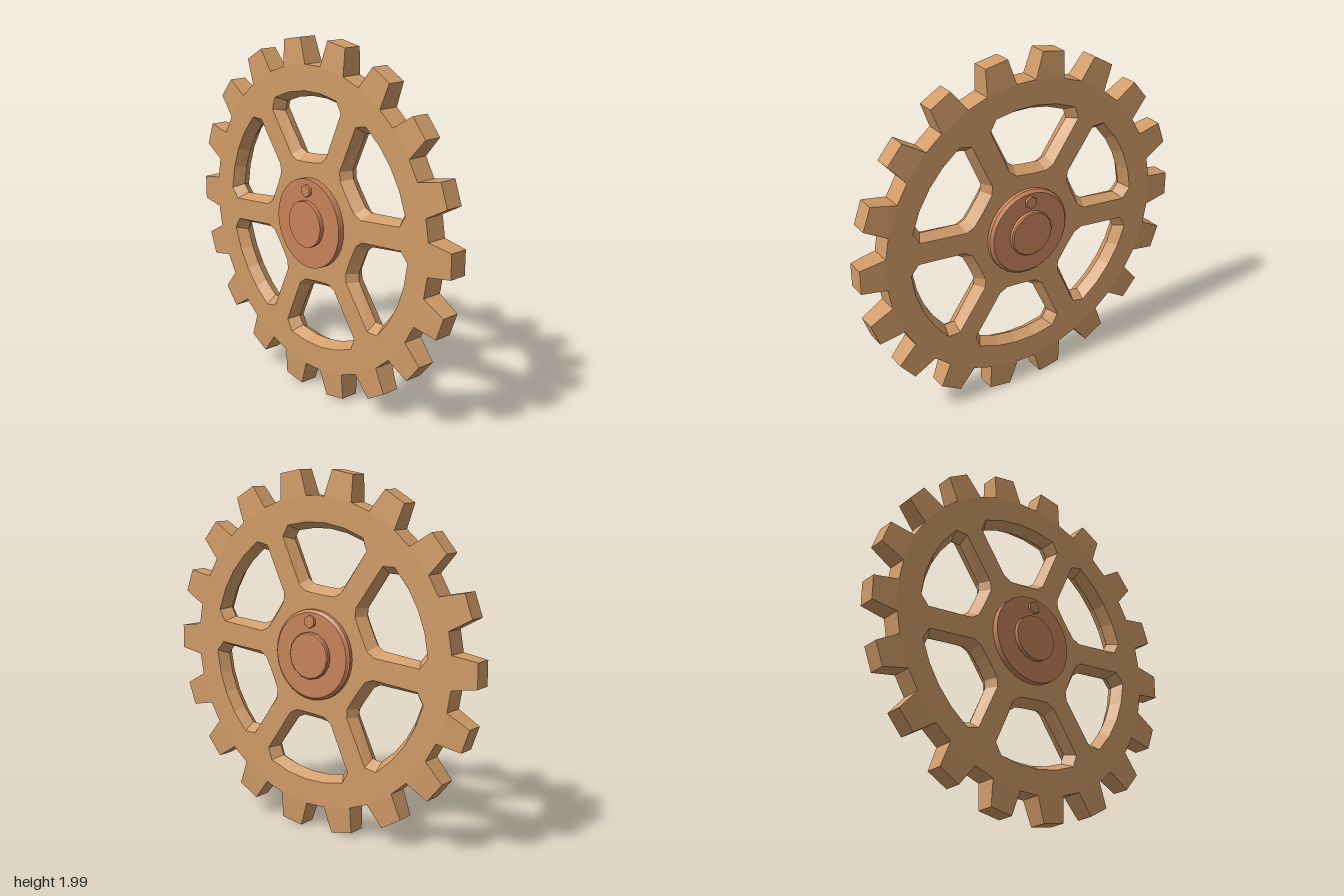
import * as THREE from 'three';

const TEETH = 18, SPOKES = 6;
const HALF = 0.06;              // half thickness of the wheel
const ROOT = 0.86;              // radius at the foot of the teeth
const ROOT_ANGLE = THREE.MathUtils.degToRad(6);
const FIRST_HOLE = THREE.MathUtils.degToRad(35.4);
const HOLE_MID = 0.535;         // radius of a window's centre

const polar = (r, a) => new THREE.Vector2(r * Math.cos(a), r * Math.sin(a));

// Window outline between two spokes, around direction a
function windowPath(a) {
  const corners = [
    [0.39, -21.2], [0.67, -24.7], [0.72, -20.3], [0.72, -10], [0.72, 0], [0.72, 10], [0.72, 20.3],
    [0.67, 24.7], [0.39, 21.2], [0.35, 16], [0.335, 5], [0.335, -5], [0.35, -16],
  ];
  return new THREE.Path(corners.map(([r, d]) => polar(r, a + THREE.MathUtils.degToRad(d))));
}

// Rim, spokes and centre in one plate; window walls narrow towards the middle
function wheelGeometry() {
  const outline = [];
  for (let i = 0; i < TEETH; i++) {
    const a = (i / TEETH) * Math.PI * 2;
    outline.push(polar(ROOT, a - ROOT_ANGLE), polar(ROOT, a + ROOT_ANGLE));
  }
  const shape = new THREE.Shape(outline);
  const step = (Math.PI * 2) / SPOKES;
  for (let i = 0; i < SPOKES; i++) shape.holes.push(windowPath(FIRST_HOLE + i * step));
  const geo = new THREE.ExtrudeGeometry(shape, { depth: HALF * 2, steps: 2, bevelEnabled: false });
  geo.translate(0, 0, -HALF);

  const p = geo.attributes.position;
  for (let i = 0; i < p.count; i++) {
    const x = p.getX(i), y = p.getY(i);
    if (Math.abs(p.getZ(i)) > 0.01 || Math.hypot(x, y) > 0.8) continue;
    const a = FIRST_HOLE + Math.round((Math.atan2(y, x) - FIRST_HOLE) / step) * step;
    const c = Math.cos(a), s = Math.sin(a);
    const u = HOLE_MID + (x * c + y * s - HOLE_MID) * 0.81;
    const v = (y * c - x * s) * 0.86;
    p.setXY(i, u * c - v * s, u * s + v * c);
  }
  geo.computeVertexNormals();
  return geo;
}

// Tooth pointing along +x, tapering in width and thickness
function toothGeometry() {
  const geo = new THREE.BoxGeometry(1, 1, 1);
  const p = geo.attributes.position;
  const foot = ROOT * Math.cos(ROOT_ANGLE), footHalf = ROOT * Math.sin(ROOT_ANGLE);
  for (let i = 0; i < p.count; i++) {
    const tip = p.getX(i) > 0;
    p.setXYZ(i, tip ? 1 : foot,
      Math.sign(p.getY(i)) * (tip ? 0.068 : footHalf),
      Math.sign(p.getZ(i)) * (tip ? 0.051 : HALF));
  }
  geo.computeVertexNormals();
  return geo;
}

export function createModel() {
  const wood = new THREE.MeshStandardMaterial({ color: 0xd09b67 });
  wood.name = 'tan wood';
  const copper = new THREE.MeshStandardMaterial({ color: 0xc7835a });
  copper.name = 'reddish hub';

  const model = new THREE.Group();
  model.name = 'cogwheel';
  const gear = new THREE.Group();
  gear.name = 'gear';
  gear.position.y = 0.996;
  model.add(gear);

  const add = (name, geo, mat, parent = gear) => {
    const mesh = new THREE.Mesh(geo, mat);
    mesh.name = name;
    parent.add(mesh);
    return mesh;
  };

  add('spokedWheel', wheelGeometry(), wood);

  const teeth = new THREE.Group();
  teeth.name = 'teeth';
  gear.add(teeth);
  const tooth = toothGeometry();
  for (let i = 0; i < TEETH; i++) {
    add('tooth', tooth, wood, teeth).rotation.z = (i / TEETH) * Math.PI * 2;
  }

  // Round slab facing +z or -z, from z0 out to z1, with an optional edge bevel
  const slab = (name, r, z0, z1, sides, side, bevel = 0) => {
    const half = new THREE.Group();
    half.name = name;
    const body = new THREE.CylinderGeometry(r, r, z1 - bevel - z0, sides, 1, bevel > 0);
    body.rotateX(Math.PI / 2).translate(0, 0, (z0 + z1 - bevel) / 2);
    add(name + 'Body', body, copper, half);
    if (bevel) {
      const edge = new THREE.CylinderGeometry(r - bevel, r, bevel, sides);
      edge.rotateX(Math.PI / 2).translate(0, 0, z1 - bevel / 2);
      add(name + 'Edge', edge, copper, half);
    }
    if (side < 0) half.rotation.y = Math.PI;
    gear.add(half);
    return half;
  };

  // Hub, axle cap and small peg on both sides
  for (const side of [1, -1]) {
    slab('hubDisc', 0.25, 0.05, 0.096, 32, side, side < 0 ? 0.015 : 0);
    slab('axleCap', 0.13, 0.09, 0.121, 16, side, side < 0 ? 0.006 : 0);
    slab('peg', 0.036, 0.09, 0.113, 6, side).position.y = 0.187;
  }
  return model;
}
